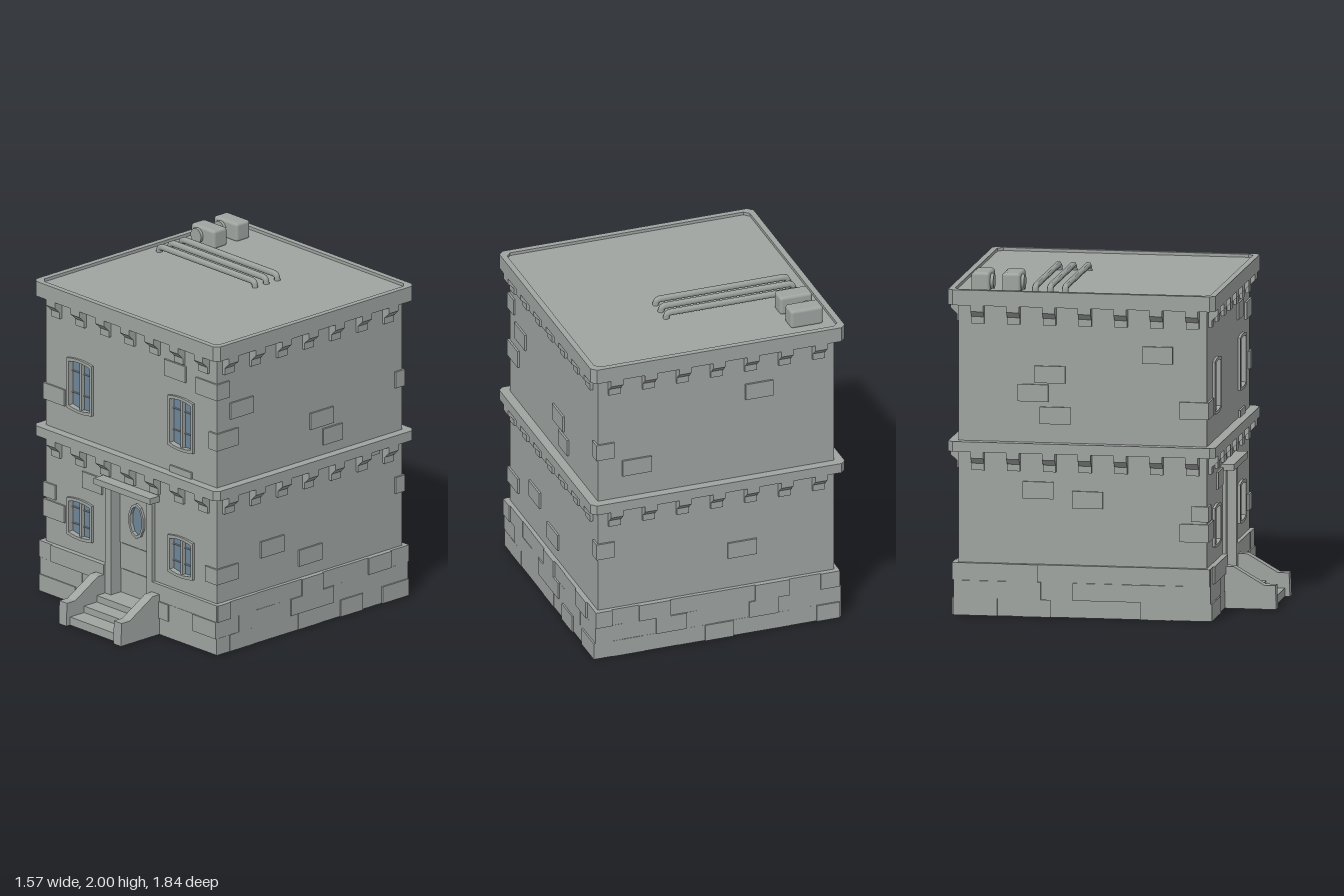
import * as THREE from 'three';
import { RoundedBoxGeometry } from 'three/addons/geometries/RoundedBoxGeometry.js';

const stone = new THREE.MeshStandardMaterial({ color: 0x9fa4a1, side: THREE.DoubleSide });
stone.name = 'grey stone';
const glass = new THREE.MeshStandardMaterial({ color: 0x6f8699, side: THREE.DoubleSide });
glass.name = 'blue glass';

const H = 0.73;        // half width of the walls
const CZ = -0.1375;    // centre of the building in z

function add(parent, name, geometry, material = stone) {
  const mesh = new THREE.Mesh(geometry, material);
  mesh.name = name;
  parent.add(mesh);
  return mesh;
}

// box given by its limits
function block(parent, name, x0, x1, y0, y1, z0, z1, material) {
  const g = new THREE.BoxGeometry(x1 - x0, y1 - y0, z1 - z0);
  g.translate((x0 + x1) / 2, (y0 + y1) / 2, (z0 + z1) / 2);
  return add(parent, name, g, material);
}

function polygon(points, Type = THREE.Shape) {
  return new Type(points.map(p => new THREE.Vector2(p[0], p[1])));
}

function extrude(shape, depth) {
  return new THREE.ExtrudeGeometry(shape, { depth, bevelEnabled: false, curveSegments: 8 });
}

// square with cut corners
function cutSquare(h, c) {
  return [[h, -h + c], [h, h - c], [h - c, h], [-h + c, h], [-h, h - c], [-h, -h + c], [-h + c, -h], [h - c, -h]];
}

// window outline with gently bowed top and bottom
function bowed(x, y0, y1, w, Type) {
  const pts = [];
  for (let i = 0; i <= 6; i++) {
    const t = -1 + i / 3;
    pts.push([x + t * w, y0 + 0.012 * t * t]);
  }
  for (let i = 0; i <= 6; i++) {
    const t = 1 - i / 3;
    pts.push([x + t * w, y1 - 0.012 * t * t]);
  }
  return polygon(pts, Type);
}

function oval(rx, ry, Type) {
  const pts = [];
  for (let i = 0; i < 10; i++) {
    const a = (i / 10) * Math.PI * 2 + Math.PI / 2;
    pts.push([Math.cos(a) * rx, 0.61 + Math.sin(a) * ry]);
  }
  return polygon(pts, Type);
}

let seed = 7;
function random() {
  seed = (seed * 16807) % 2147483647;
  return seed / 2147483647;
}

const windows = [];
for (const x of [-0.43, 0.43]) windows.push([x, 0.39, 0.64], [x, 1.17, 1.5]);

// raised wall bricks on each side: [left, right, bottom, top]
const sideBricks = [
  [[-.742, -.56, 1.18, 1.28], [-.742, -.64, .58, .67], [-.742, -.56, .46, .565], [-.41, -.24, .72, .82],
    [.29, .47, 1.6, 1.7], [.56, .742, 1.56, 1.66], [.67, .742, 1.25, 1.355], [.34, .52, 1.01, 1.06], [.64, .742, .425, .52]],
  [[-.742, -.64, 1.56, 1.66], [-.63, -.45, 1.42, 1.52], [-.742, -.57, 1.25, 1.355], [0, .18, 1.2, 1.3], [.1, .25, 1.08, 1.18],
    [-.39, -.21, .505, .605], [-.09, .09, .38, .48], [-.742, -.57, .425, .52], [.43, .54, .92, .97]],
  [[.18, .35, 1.52, 1.62], [-.58, -.4, 1.16, 1.26], [-.742, -.63, 1.29, 1.39], [.07, .25, .5, .6], [-.742, -.63, .64, .74]],
  [[.35, .53, 1.5, 1.6], [-.28, -.1, 1.37, 1.47], [-.38, -.2, 1.26, 1.36], [-.25, -.07, 1.13, 1.23], [-.06, .12, .64, .74],
    [-.35, -.17, .69, .79], [.57, .742, 1.18, 1.28], [.64, .742, .58, .67], [.57, .742, .46, .565]],
];

function buildSide(index) {
  const side = new THREE.Group();
  side.name = ['frontSide', 'leftSide', 'backSide', 'rightSide'][index];
  side.rotation.y = index * Math.PI / 2;

  // wall panel, with door and window openings in front
  const panel = polygon([[-H, 0.02], [H, 0.02], [H, 1.85], [-H, 1.85]]);
  if (index === 0) {
    panel.holes.push(polygon([[-.16, .1], [-.16, .8], [.16, .8], [.16, .1]], THREE.Path));
    for (const [x, a, b] of windows) panel.holes.push(bowed(x, a + .01, b - .01, .097, THREE.Path));
  }
  add(side, 'wall', new THREE.ShapeGeometry(panel).translate(0, 0, H));

  for (const [a, b, c, d] of sideBricks[index]) block(side, 'wallBrick', a, b, c, d, H - 0.06, H + 0.012);

  // three courses of foundation bricks
  for (let row = 0; row < 3; row++) {
    const y0 = row * 0.102, y1 = y0 + 0.102;
    let x = -0.752;
    let w = row % 2 ? 0.17 : 0.1;
    while (x < 0.751) {
      const end = 0.752 - x - w < 0.06 ? 0.752 : x + w;
      const out = 0.752 + (random() < 0.35 ? 0.011 : random() * 0.004);
      const spans = index === 0 && x < 0.2 && end > -0.2 ? [[x, -0.2], [0.2, end]] : [[x, end]];
      for (const [a, b] of spans) if (b - a > 0.01) block(side, 'foundationBrick', a, b, y0, y1, 0.67, out);
      x = end;
      w = 0.15 + random() * 0.06;
    }
  }

  // brackets below both cornices
  const profile = polygon([[.7, 0], [.785, 0], [.785, -.035], [.748, -.07], [.748, -.11], [.7, -.11]]);
  const bracket = extrude(profile, 0.075).rotateY(-Math.PI / 2).translate(0.0375, 0, 0);
  const shift = [0, -0.018, 0, 0.018][index];
  for (const y of [0.96, 1.82]) {
    for (let i = -3; i <= 3; i++) add(side, 'bracket', bracket).position.set(i * 0.21 + shift, y, 0);
  }
  return side;
}

function buildWindow(x, y0, y1) {
  const g = new THREE.Group();
  g.name = 'window';
  const frame = bowed(x, y0, y1, 0.108);
  frame.holes.push(bowed(x, y0 + .018, y1 - .018, 0.09, THREE.Path));
  add(g, 'windowFrame', extrude(frame, 0.05).translate(0, 0, H - 0.035));
  add(g, 'windowGlass', new THREE.ShapeGeometry(bowed(x, y0 + .01, y1 - .01, .1)).translate(0, 0, H - 0.02), glass);
  block(g, 'mullion', x - .009, x + .009, y0 + .01, y1 - .01, H - .025, H + .002);
  for (const t of [0.32, 0.72]) {
    const y = y0 + (y1 - y0) * t;
    block(g, 'glazingBar', x - .095, x + .095, y - .003, y + .003, H - .025, H - .012);
  }
  return g;
}

function buildDoor() {
  const g = new THREE.Group();
  g.name = 'doorway';
  for (const s of [-1, 1]) {
    const post = block(g, 'doorPost', .152, .2, 0, .81, H - .1, H + .022);
    post.position.x = s < 0 ? -.352 : 0;
  }
  block(g, 'lintel', -.2, .2, .795, .81, H - .1, H + .03);
  block(g, 'doorHood', -.24, .24, .803, .84, H - .03, H + .075);
  // leaf: glazed upper panel and two lower panels
  const upper = polygon([[-.152, .44], [.152, .44], [.152, .8], [-.152, .8]]);
  upper.holes.push(oval(.055, .095, THREE.Path));
  add(g, 'doorLeaf', extrude(upper, .03).translate(0, 0, H - .08));
  block(g, 'doorPanel', -.152, .152, .28, .436, H - .08, H - .054);
  block(g, 'doorPanel', -.152, .152, .12, .276, H - .08, H - .058);
  block(g, 'doorBacking', -.152, .152, .12, .46, H - .09, H - .075);
  const ring = oval(.065, .108);
  ring.holes.push(oval(.05, .09, THREE.Path));
  add(g, 'ovalFrame', extrude(ring, .02).translate(0, 0, H - .055));
  add(g, 'ovalGlass', new THREE.ShapeGeometry(oval(.06, .1)).translate(0, 0, H - .06), glass);
  return g;
}

function buildSteps() {
  const g = new THREE.Group();
  g.name = 'entranceSteps';
  block(g, 'step', -.21, .21, .085, .13, .5, .68);
  block(g, 'step', -.21, .21, .045, .09, .66, .78);
  block(g, 'step', -.21, .21, 0, .05, .76, .89);
  const cheek = polygon([[.58, 0], [.92, 0], [.915, .14], [.85, .14], [.67, .245], [.58, .245]]);
  const wall = extrude(cheek, .065).rotateY(-Math.PI / 2).translate(.0325, 0, 0);
  for (const s of [-1, 1]) add(g, 'stepSideWall', wall).position.x = s * .2325;
  return g;
}

function buildRoofEquipment() {
  const g = new THREE.Group();
  g.name = 'roofEquipment';
  for (const z of [-0.745, -0.565]) {
    add(g, 'coolingUnit', new RoundedBoxGeometry(.2, .115, .108, 3, .018)).position.set(-.59, 1.9425, z);
    const fan = new THREE.CylinderGeometry(.045, .045, .02, 14).rotateX(Math.PI / 2);
    add(g, 'coolingFan', fan).position.set(-.625, 1.942, z + .062);
  }
  // pipes with ends bent down into the roof
  const ends = [[-.675, 1.88], [-.67, 1.915], [-.645, 1.926], [.115, 1.926], [.14, 1.915], [.145, 1.88]];
  for (const z of [-.425, -.338, -.25]) {
    const path = new THREE.CatmullRomCurve3(ends.map(p => new THREE.Vector3(p[0], p[1], z)), false, 'catmullrom', 0.05);
    add(g, 'roofPipe', new THREE.TubeGeometry(path, 90, .019, 6));
  }
  return g;
}

export function createModel() {
  const model = new THREE.Group();
  model.name = 'townBuilding';
  const body = new THREE.Group();
  body.name = 'buildingBody';
  body.position.z = CZ;
  model.add(body);
  for (let i = 0; i < 4; i++) body.add(buildSide(i));
  for (const w of windows) body.add(buildWindow(...w));
  body.add(buildDoor());

  // cornices with cut corners
  for (const [name, y, height, inner] of [['middleCornice', .96, .06, .7], ['roofParapet', 1.82, .09, .75]]) {
    const shape = polygon(cutSquare(.785, .03));
    shape.holes.push(polygon(cutSquare(inner, .03).reverse(), THREE.Path));
    add(body, name, extrude(shape, height).rotateX(-Math.PI / 2)).position.y = y;
  }
  block(body, 'roof', -.755, .755, 1.825, 1.892, -.755, .755);

  model.add(buildSteps(), buildRoofEquipment());
  return model;
}
